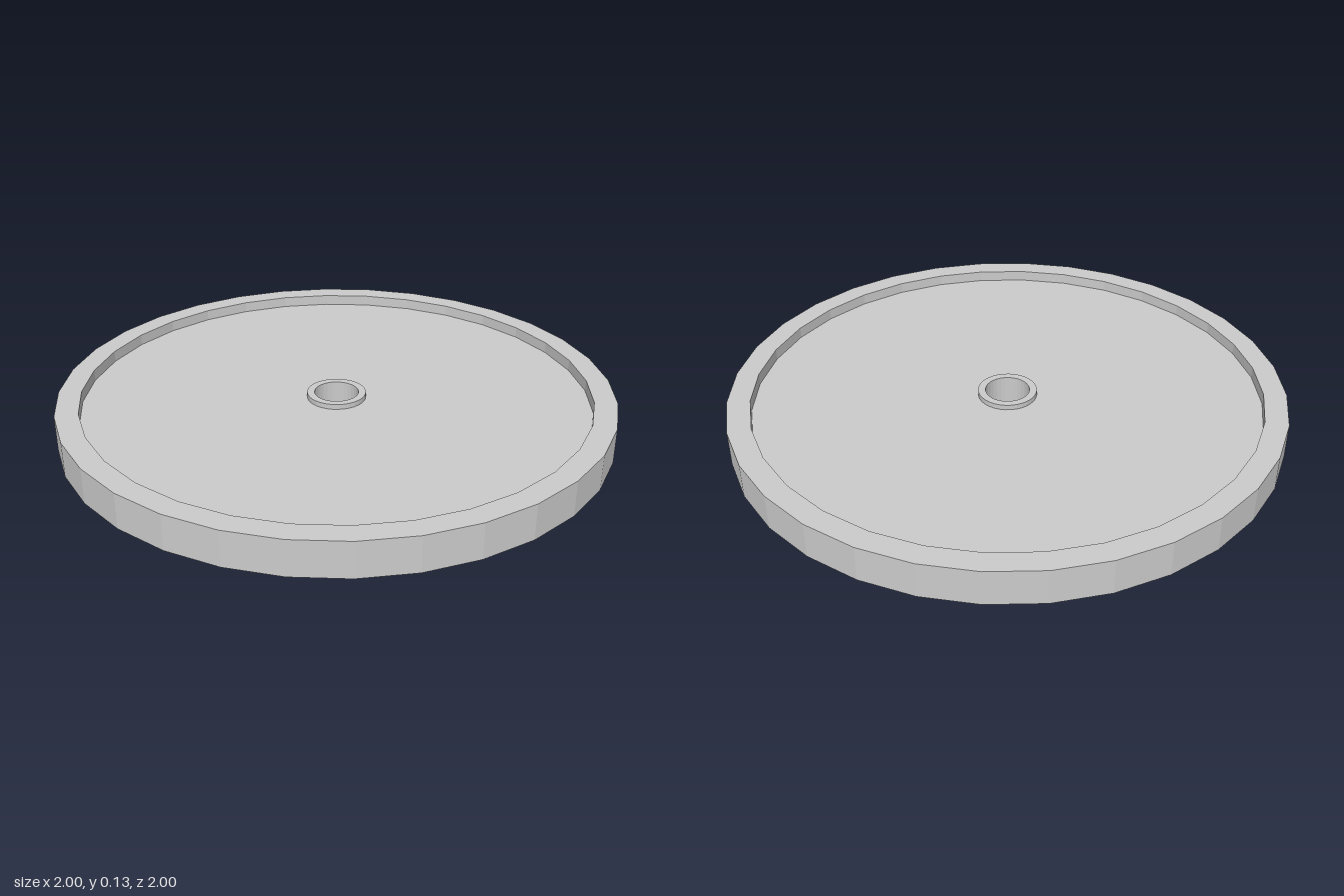
import * as THREE from 'three';

const SIDES = 32;
const R = 1, RIM = 0.918, HUB = 0.107, HOLE = 0.08; // radii
const TOP = 0.128, FLOOR = 0.087, HUB_TOP = 0.106; // heights

export function createModel() {
  const group = new THREE.Group();
  group.name = 'roundTray';
  const material = new THREE.MeshStandardMaterial({ color: 0xcccccc, flatShading: true });

  // Turns a [radius, height] profile, counterclockwise so that faces look outward
  const turn = (name, profile) => {
    const points = profile.map(([r, y]) => new THREE.Vector2(r, y));
    const mesh = new THREE.Mesh(new THREE.LatheGeometry(points, SIDES), material);
    mesh.name = name;
    group.add(mesh);
  };

  // Flat underside with the central hole
  turn('underside', [[HOLE, 0], [R, 0]]);
  // Raised rim: outer wall, top band and short inner wall
  turn('rim', [[R, 0], [R, TOP], [RIM, TOP], [RIM, FLOOR]]);
  // Recessed floor
  turn('floor', [[RIM, FLOOR], [HUB, FLOOR]]);
  // Low collar around the hole, and the wall of the hole
  turn('hub', [[HUB, FLOOR], [HUB, HUB_TOP], [HOLE, HUB_TOP], [HOLE, 0]]);

  return group;
}
